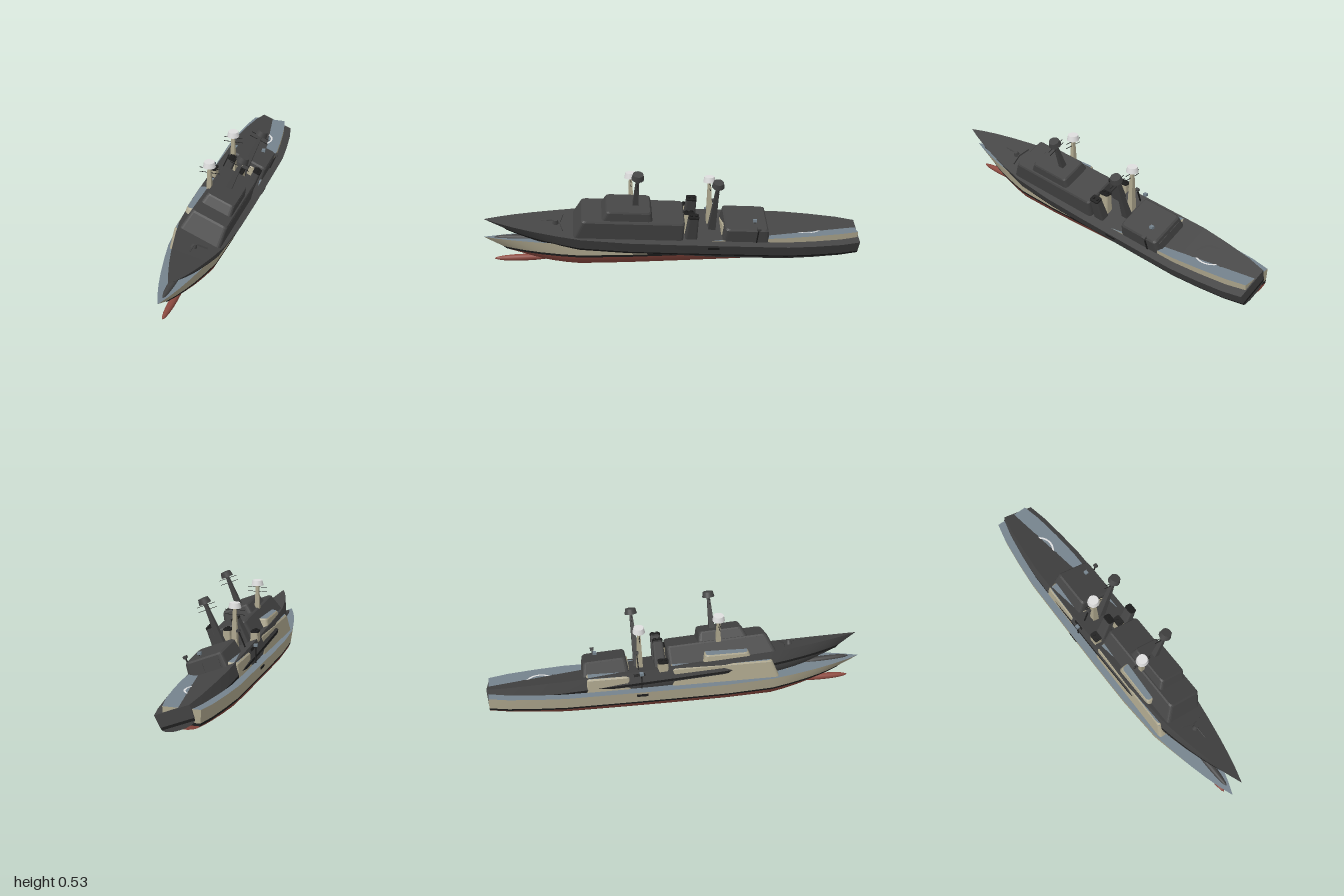
import * as THREE from 'three';

const mat = (name, color, side = THREE.FrontSide) => {
  const m = new THREE.MeshStandardMaterial({ color, side });
  m.name = name;
  return m;
};

function mesh(parent, name, geometry, material, x = 0, y = 0, z = 0) {
  const m = new THREE.Mesh(geometry, material);
  m.name = name;
  m.position.set(x, y, z);
  parent.add(m);
  return m;
}

// hull stations: z, deck half width, rise of the keel
const STATIONS = [
  [-1, 0.092, 0.035], [-0.9, 0.115, 0.026], [-0.75, 0.134, 0.012], [-0.6, 0.147, 0.002],
  [-0.3, 0.148, 0], [0, 0.148, 0], [0.25, 0.145, 0], [0.5, 0.128, 0], [0.62, 0.106, 0.002],
  [0.75, 0.078, 0.006], [0.85, 0.052, 0.012], [0.93, 0.027, 0.017], [1, 0.001, 0.022],
];
// hull rows: width fraction, height, bow rise, bow rake, share of keel rise
const ROWS = {
  deck: [1, 0.135, 0.016, 1, 0],
  stripeTop: [0.95, 0.071, 0.024, 0.8, 0],
  stripeLow: [0.92, 0.058, 0.024, 0.77, 0],
  bilge: [0.84, 0.036, 0.026, 0.7, 0.4],
  chine: [0.68, 0.015, 0.022, 0.6, 0.8],
  bottom: [0.32, 0.001, 0.01, 0.5, 1],
  keel: [0, 0, 0.01, 0.5, 1],
};

function hullPoint(row, [z, w, k], side) {
  const [f, y, rise, rake, share] = ROWS[row];
  const t = Math.max(0, (z - 0.4) / 0.6);
  return [side * w * f, y + rise * t * t + k * share, z > 0.5 ? 0.5 + (z - 0.5) * rake : z];
}

// skin through several loops of equally many points
function loft(loops, flip = false) {
  const n = loops[0].length, index = [];
  for (let i = 0; i < loops.length - 1; i++) {
    for (let j = 0; j < n - 1; j++) {
      const a = i * n + j, b = a + 1, c = a + n, d = c + 1;
      index.push(...(flip ? [a, c, b, b, c, d] : [a, b, c, b, d, c]));
    }
  }
  const g = new THREE.BufferGeometry();
  g.setAttribute('position', new THREE.Float32BufferAttribute(loops.flat(2), 3));
  g.setIndex(index);
  g.computeVertexNormals();
  return g;
}

// rounded block from z0 to z1 that narrows upwards; roof and wall materials
function block(parent, name, p, { w, z0, z1, y, h, top = 0.9, front = 0, back = 0, r = 0.02 }) {
  const s = new THREE.Shape();
  const a = -z1, b = -z0;
  s.moveTo(-w + r, a).lineTo(w - r, a).quadraticCurveTo(w, a, w, a + r);
  s.lineTo(w, b - r).quadraticCurveTo(w, b, w - r, b).lineTo(-w + r, b);
  s.quadraticCurveTo(-w, b, -w, b - r).lineTo(-w, a + r).quadraticCurveTo(-w, a, -w + r, a);
  const g = new THREE.ExtrudeGeometry(s, { depth: h, bevelEnabled: false, curveSegments: 4 });
  g.rotateX(-Math.PI / 2);
  const pos = g.attributes.position;
  for (let i = 0; i < pos.count; i++) {
    if (pos.getY(i) < h / 2) continue;
    const t = (pos.getZ(i) - z0) / (z1 - z0);
    pos.setX(i, pos.getX(i) * top);
    pos.setZ(i, z0 + back + t * (z1 - z0 - front - back));
  }
  g.computeVertexNormals();
  return mesh(parent, name, g, [p.roof, p.wall], 0, y, 0);
}

function addHull(ship, p) {
  const hull = new THREE.Group();
  hull.name = 'hull';
  ship.add(hull);
  const bands = [
    ['topside', ['deck', 'stripeTop'], p.wall],
    ['bootStripe', ['stripeTop', 'stripeLow'], p.stripe],
    ['underwaterHull', ['stripeLow', 'bilge', 'chine', 'bottom', 'keel'], p.keel],
  ];
  for (const [name, rows, material] of bands) {
    for (const side of [-1, 1]) {
      const loops = rows.map((r) => STATIONS.map((s) => hullPoint(r, s, side)));
      mesh(hull, name, loft(loops, side > 0), material);
    }
    // matching strip of the transom
    const stern = rows.map((r) => [-1, 1].map((side) => hullPoint(r, STATIONS[0], side)));
    mesh(hull, name + 'Transom', loft(stern), p.double(material));
  }
  const deck = STATIONS.map((s) => [-1, 1].map((side) => hullPoint('deck', s, side)));
  mesh(hull, 'deck', loft(deck, true), p.roof);

  const bulb = mesh(hull, 'bowBulb', new THREE.SphereGeometry(1, 16, 12), p.keel, 0, 0.027, 0.79);
  bulb.scale.set(0.019, 0.018, 0.16);
  for (const side of [-1, 1]) {
    mesh(hull, 'rudder', new THREE.BoxGeometry(0.007, 0.035, 0.06), p.keel, side * 0.03, 0.031, -0.88);
    const anchor = mesh(hull, 'anchor', new THREE.BoxGeometry(0.006, 0.016, 0.012), p.stripe, side * 0.082, 0.098, 0.67);
    anchor.rotation.z = side * -0.3;
    mesh(hull, 'sideHatch', new THREE.BoxGeometry(0.008, 0.014, 0.06), p.stripe, side * 0.145, 0.116, -0.2);
  }
}

function addMast(ship, p, z, base, radomeY) {
  const mast = new THREE.Group();
  mast.name = 'mast';
  mast.position.z = z;
  ship.add(mast);
  const h = radomeY - base;
  const pole = new THREE.CylinderGeometry(0.011, 0.011 + h * 0.06, h, 4, 1).toNonIndexed();
  pole.rotateY(Math.PI / 4);
  pole.computeVertexNormals();
  mesh(mast, 'mastColumn', pole, p.wall, 0, base + h / 2, 0);
  for (const drop of [0.01, 0.035]) {
    mesh(mast, 'yardArm', new THREE.BoxGeometry(0.106, 0.002, 0.003), p.stripe, 0, radomeY - drop, 0);
  }
  mesh(mast, 'radome', new THREE.CylinderGeometry(0.027, 0.033, 0.028, 20), p.radome, 0, radomeY + 0.014, 0);
}

function addFunnel(ship, p, x) {
  const funnel = new THREE.Group();
  funnel.name = 'funnel';
  funnel.position.x = x;
  ship.add(funnel);
  block(funnel, 'funnelCasing', p, { w: 0.026, z0: -0.115, z1: -0.05, y: 0.13, h: 0.14, top: 0.75, front: 0.006, back: 0.006, r: 0.012 });
  block(funnel, 'funnelCap', { roof: p.stripe, wall: p.stripe }, { w: 0.021, z0: -0.11, z1: -0.055, y: 0.268, h: 0.008, top: 0.95, r: 0.01 });
  for (const z of [-0.095, -0.07]) {
    mesh(funnel, 'exhaustPipe', new THREE.CylinderGeometry(0.008, 0.008, 0.012, 10), p.stripe, 0, 0.278, z);
  }
}

function buildShip(name, p) {
  const ship = new THREE.Group();
  ship.name = name;
  addHull(ship, p);

  // superstructure, bridge and hangar, each with a bevelled roof
  block(ship, 'deckhouse', p, { w: 0.114, z0: -0.04, z1: 0.54, y: 0.13, h: 0.097, top: 0.87, front: 0.04 });
  block(ship, 'deckhouseRoof', p, { w: 0.099, z0: -0.04, z1: 0.5, y: 0.227, h: 0.008, top: 0.94, front: 0.008, back: 0.006 });
  block(ship, 'bridge', p, { w: 0.086, z0: 0.13, z1: 0.395, y: 0.234, h: 0.044, top: 0.9, front: 0.02, back: 0.01 });
  block(ship, 'bridgeRoof', p, { w: 0.077, z0: 0.14, z1: 0.375, y: 0.278, h: 0.007, top: 0.94, front: 0.006, back: 0.006 });
  block(ship, 'hangar', p, { w: 0.111, z0: -0.5, z1: -0.25, y: 0.13, h: 0.072, top: 0.93, front: 0.008, back: 0.012 });
  block(ship, 'hangarRoof', p, { w: 0.103, z0: -0.488, z1: -0.258, y: 0.202, h: 0.008, top: 0.93, front: 0.008, back: 0.008 });
  for (const side of [-1, 1]) {
    const door = mesh(ship, 'hangarDoor', new THREE.BoxGeometry(0.07, 0.045, 0.006), p.wall, side * 0.045, 0.162, -0.495);
    door.rotation.x = 0.16;
    addFunnel(ship, p, side * 0.075);
  }

  addMast(ship, p, 0.22, 0.28, 0.453);
  addMast(ship, p, -0.2, 0.13, 0.417);

  // foredeck gun and breakwater
  mesh(ship, 'gunTurret', new THREE.CylinderGeometry(0.011, 0.017, 0.022, 10), p.wall, 0, 0.148, 0.63);
  const barrel = mesh(ship, 'gunBarrel', new THREE.CylinderGeometry(0.003, 0.003, 0.07, 8), p.wall, 0, 0.155, 0.67);
  barrel.rotation.x = Math.PI / 2;
  for (const side of [-1, 1]) {
    const plate = mesh(ship, 'breakwater', new THREE.BoxGeometry(0.065, 0.01, 0.004), p.wall, side * 0.031, 0.143, 0.6);
    plate.rotation.y = side * 0.25;
  }

  // small sensor boxes carried out from the sides
  for (const [x, z] of [[-0.112, -0.2], [0.112, -0.43]]) {
    mesh(ship, 'sensorPost', new THREE.BoxGeometry(0.006, 0.09, 0.006), p.stripe, x, 0.175, z);
    mesh(ship, 'sensorBox', new THREE.BoxGeometry(0.018, 0.014, 0.02), p.roof, x, 0.228, z);
  }

  // landing circle on the aft deck
  const ring = mesh(ship, 'landingCircle', new THREE.RingGeometry(0.074, 0.084, 40), p.radome, 0, 0.1362, -0.73);
  ring.rotation.x = -Math.PI / 2;
  return ship;
}

export function createModel() {
  const model = new THREE.Group();
  model.name = 'shipPair';
  const double = (m) => {
    m.side = THREE.DoubleSide;
    return m;
  };
  const black = mat('black', 0x1e1e1e);
  const dark = mat('charcoal', 0x444444);
  const painted = {
    wall: mat('beigeGrey', 0xaca58c), roof: mat('deckGrey', 0x75838d), keel: mat('hullRed', 0x8c4a40),
    radome: mat('white', 0xdedede), stripe: black, double,
  };
  const shadowy = { wall: dark, roof: dark, keel: dark, radome: dark, stripe: black, double };

  const upright = buildShip('paintedShip', painted);
  upright.position.x = -0.035;
  // second ship, heeled over and lifted at the bow
  const heeled = buildShip('heeledDarkShip', shadowy);
  heeled.position.set(-0.04, 0.063, 0);
  heeled.rotation.set(-0.065, 0, -0.384);
  model.add(upright, heeled);
  return model;
}
